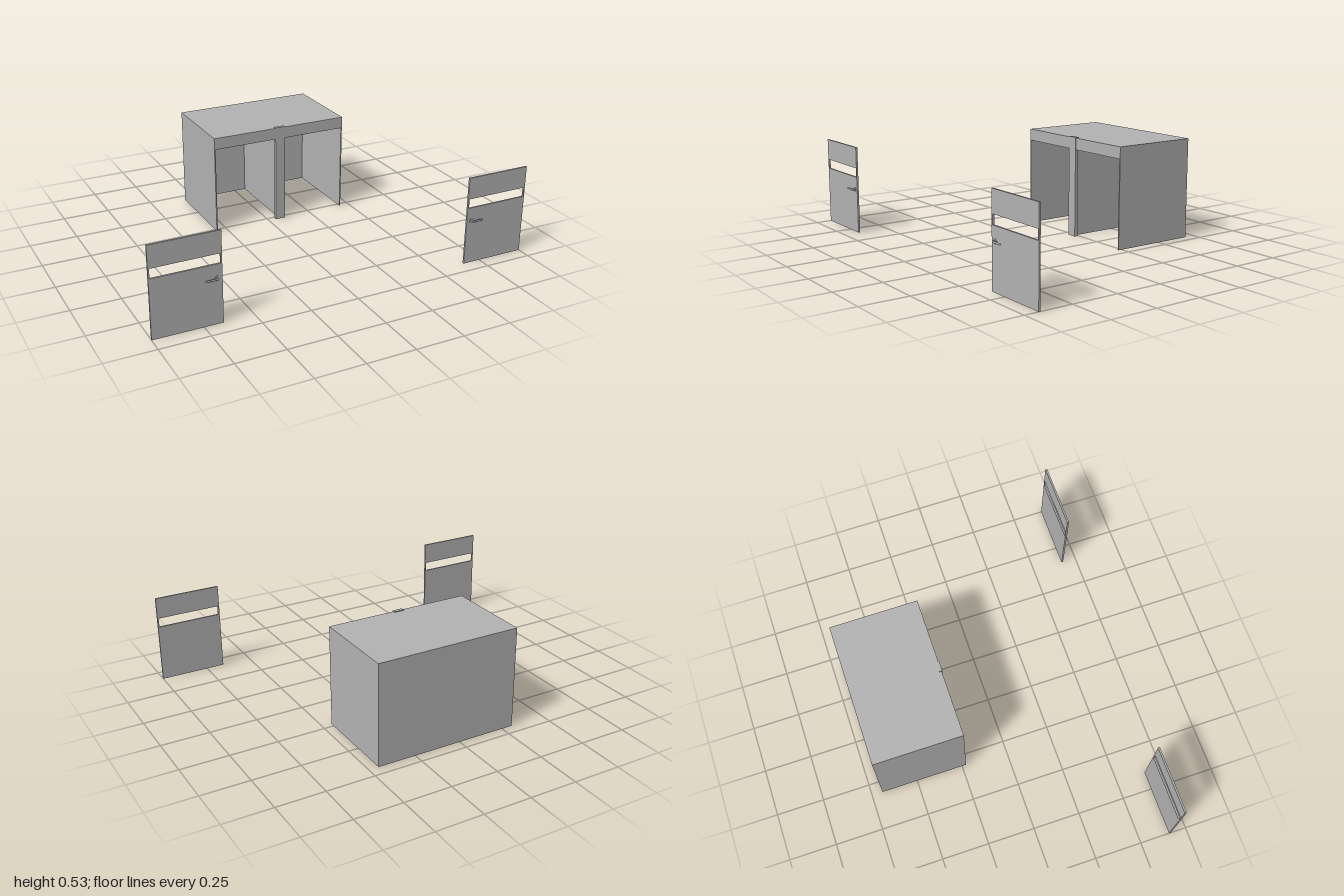
import * as THREE from 'three';

export function createModel() {
  const root = new THREE.Group();
  root.name = 'cubicleWithDoors';
  const panelGrey = new THREE.MeshStandardMaterial({ color: 0xb2b2b2 });
  panelGrey.name = 'panelGrey';

  // Box given by its extents on each axis
  const box = (name, parent, [x0, x1], [y0, y1], [z0, z1]) => {
    const mesh = new THREE.Mesh(new THREE.BoxGeometry(x1 - x0, y1 - y0, z1 - z0), panelGrey);
    mesh.position.set((x0 + x1) / 2, (y0 + y1) / 2, (z0 + z1) / 2);
    mesh.name = name;
    parent.add(mesh);
    return mesh;
  };

  // Cubicle shell: open at the front and underneath
  const shell = new THREE.Group();
  shell.name = 'cubicle';
  root.add(shell);
  const L = -0.309, R = 0.449, back = -0.693, front = -0.228, top = 0.529, t = 0.006;
  const mid = (L + R) / 2;
  box('roof', shell, [L, R], [top - t, top], [back, front]);
  box('backWall', shell, [L + t, R - t], [0, top - t], [back, back + t]);
  box('rightWall', shell, [L, L + t], [0, top - t], [back, front]);
  box('leftWall', shell, [R - t, R], [0, top - t], [back, front]);
  box('header', shell, [L + t, R - t], [0.467, top - t], [front - 0.012, front]);
  box('partition', shell, [mid - 0.006, mid + 0.006], [0, top - t], [back + t, front - 0.012]);
  box('frontPost', shell, [mid - 0.027, mid + 0.027], [0, 0.533], [front - 0.014, front + 0.004]);

  // Door leaf with a slot window and a lever handle; side is the sign of x
  const makeDoor = (name, side, z) => {
    const door = new THREE.Group();
    door.name = name;
    const w = 0.345, h = 0.465, d = 0.0095;
    const leaf = new THREE.Shape();
    leaf.moveTo(0, 0).lineTo(w, 0).lineTo(w, h).lineTo(0, h).closePath();
    const slot = new THREE.Path();
    slot.moveTo(0.007, 0.303).lineTo(0.007, 0.352).lineTo(w - 0.007, 0.352).lineTo(w - 0.007, 0.303).closePath();
    leaf.holes.push(slot);
    const panel = new THREE.Mesh(
      new THREE.ExtrudeGeometry(leaf, { depth: d, bevelEnabled: false }), panelGrey);
    panel.name = 'doorPanel';
    panel.position.x = side > 0 ? 0.655 : -1;
    door.add(panel);

    // Round rose, spindle and lever pointing away from the free edge
    const handle = new THREE.Group();
    handle.name = 'handle';
    handle.position.set(side * 0.682, 0.233, d);
    const disc = (part, r, len, z0) => {
      const mesh = new THREE.Mesh(new THREE.CylinderGeometry(r, r, len, 20).rotateX(Math.PI / 2), panelGrey);
      mesh.position.z = z0 + len / 2;
      mesh.name = part;
      handle.add(mesh);
    };
    disc('rose', 0.012, 0.003, 0);
    disc('spindle', 0.005, 0.011, 0.003);
    const lever = new THREE.Mesh(new THREE.CapsuleGeometry(0.005, 0.055, 4, 12), panelGrey);
    lever.name = 'lever';
    lever.rotation.z = Math.PI / 2;
    lever.scale.z = 0.6;
    lever.position.set(side * 0.0275, 0, 0.013);
    handle.add(lever);
    door.add(handle);
    door.position.z = z;
    root.add(door);
  };
  makeDoor('rightDoor', -1, 0.658);
  makeDoor('leftDoor', 1, 0.6675);

  return root;
}
